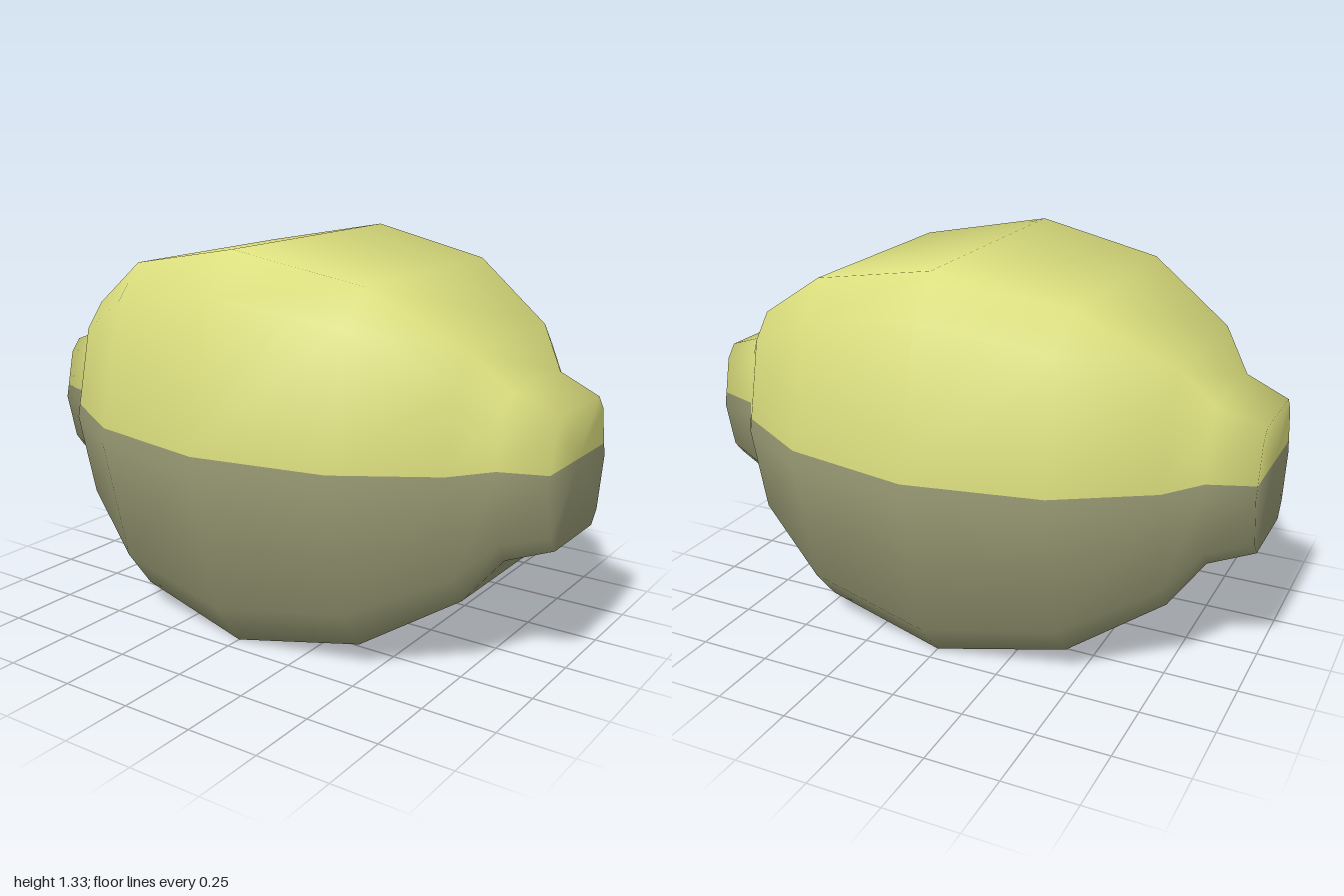
import * as THREE from 'three';

const CENTER_Y = 0.67;
const SEAM_Y = 0.715;

// Rings along the fruit: [x, scale of the cross-section]; zero scale closes the tip
const half = [[0.45, 0.874], [0.75, 0.6], [0.85, 0.404], [1, 0.323], [1, 0]];
const rings = [...half.map(([x, s]) => [-x, s]).reverse(), [0, 1], ...half];

// Cross-section [z, y], running from the front over the top to the back and under
const section = [
  [0.68, 0], [0.56, 0.525], [0.44, 0.665], [-0.44, 0.665], [-0.56, 0.525],
  [-0.68, 0], [-0.56, -0.525], [-0.44, -0.665], [0.44, -0.665], [0.56, -0.505],
].map(([z, y]) => new THREE.Vector2(z, y));

// Smooth outward normal of each cross-section corner
const edgeNormal = (a, b) => new THREE.Vector2(b.y - a.y, a.x - b.x).normalize();
const count = section.length;
const corners = section.map((p, i) => {
  const before = section[(i + count - 1) % count];
  const after = section[(i + 1) % count];
  return { p, n: edgeNormal(before, p).add(edgeNormal(p, after)).normalize() };
});

// Point where the seam height crosses a cross-section edge
function seamPoint(a, b, y) {
  const t = (y - a.p.y) / (b.p.y - a.p.y);
  return { p: a.p.clone().lerp(b.p, t), n: a.n.clone().lerp(b.n, t).normalize() };
}

// Skin one side of the seam across all rings
function buildHalf(name, material, upper) {
  const positions = [], normals = [], index = [];
  let width = 0;
  const last = rings.length - 1;
  rings.forEach(([x, s], i) => {
    const tip = s === 0;
    const seam = tip ? 0 : (SEAM_Y - CENTER_Y) / s;
    const front = seamPoint(corners[0], corners[1], seam);
    const back = seamPoint(corners[5], corners[4], seam);
    const chain = upper
      ? [front, ...corners.slice(1, 5), back]
      : [back, ...corners.slice(5), corners[0], front];
    width = chain.length;
    const slope = tip ? 0
      : (rings[i + 1][1] - rings[i - 1][1]) / (rings[i + 1][0] - rings[i - 1][0]);
    for (const { p, n } of chain) {
      positions.push(x, tip ? SEAM_Y : CENTER_Y + p.y * s, p.x * s);
      const v = tip
        ? new THREE.Vector3(Math.sign(x), 0, 0)
        : new THREE.Vector3(-slope * p.dot(n), n.y, n.x).normalize();
      normals.push(v.x, v.y, v.z);
    }
  });
  for (let i = 0; i < last; i++) {
    for (let j = 0; j < width - 1; j++) {
      const a = i * width + j, b = a + width;
      if (i < last - 1) index.push(a, b, b + 1);
      if (i > 0) index.push(a, b + 1, a + 1);
      // The tip fans need only one triangle per segment
    }
  }
  // First fan uses a,b,b+1 and the last fan uses a,b+1,a+1
  const geometry = new THREE.BufferGeometry();
  geometry.setAttribute('position', new THREE.Float32BufferAttribute(positions, 3));
  geometry.setAttribute('normal', new THREE.Float32BufferAttribute(normals, 3));
  geometry.setIndex(index);
  const mesh = new THREE.Mesh(geometry, material);
  mesh.name = name;
  return mesh;
}

export function createModel() {
  const yellow = new THREE.MeshStandardMaterial({ color: 0xdcdf7e });
  yellow.name = 'lemon yellow';
  const olive = new THREE.MeshStandardMaterial({ color: 0x989a74 });
  olive.name = 'olive grey';

  const lemon = new THREE.Group();
  lemon.name = 'lemon';
  lemon.add(buildHalf('upperPeel', yellow, true), buildHalf('lowerPeel', olive, false));
  return lemon;
}
